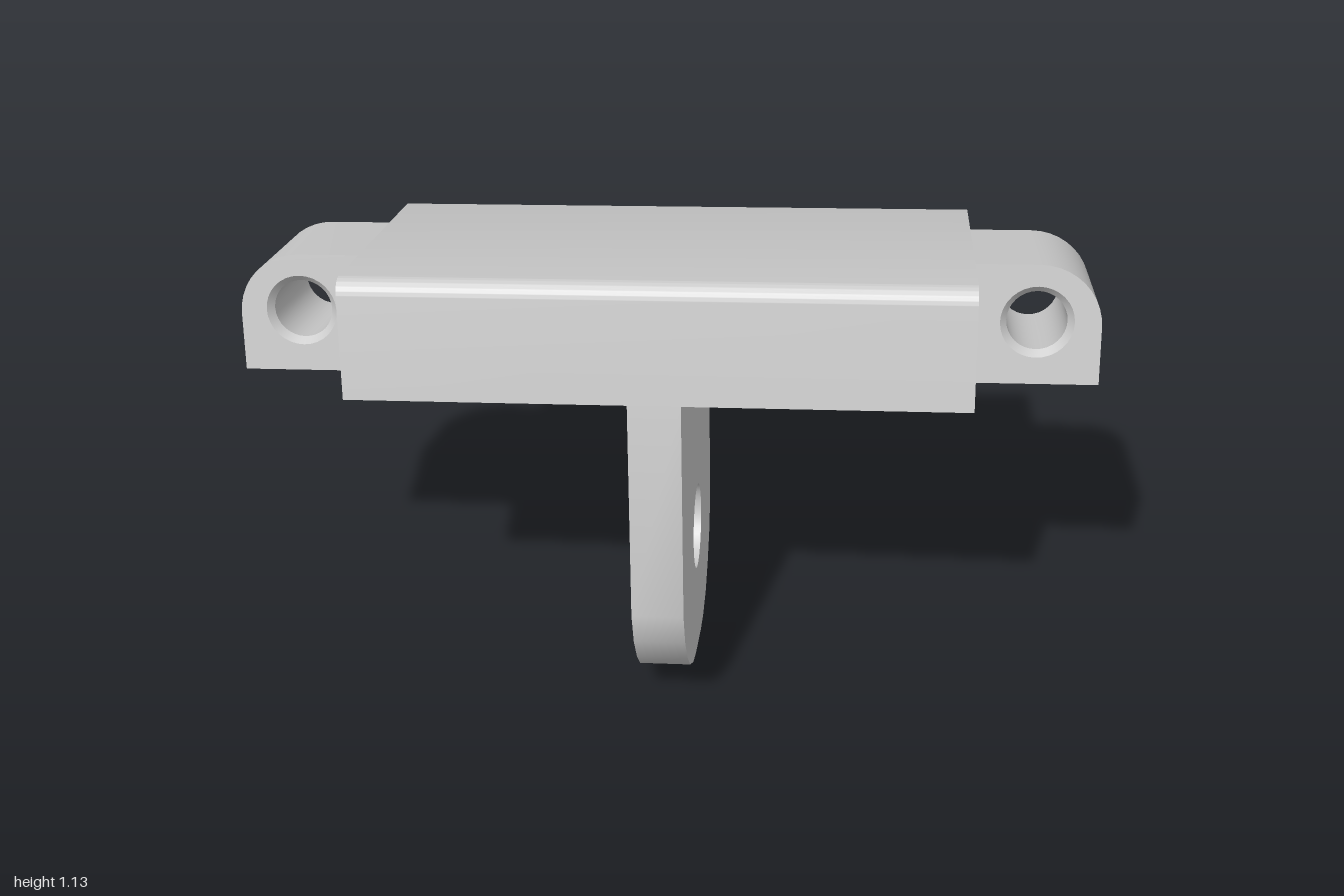
import * as THREE from 'three';
import { toCreasedNormals } from 'three/addons/utils/BufferGeometryUtils.js';

const BOTTOM = 0.755, TOP = 1.037;    // height range of the bar
const BACK = -0.24, FRONT = 0.515;    // depth range of the bar
const HALF = 0.711;                   // half length of the bar

const material = new THREE.MeshStandardMaterial({ color: 0xcccccc });
const liner = new THREE.MeshStandardMaterial({ color: 0xcccccc, side: THREE.DoubleSide });

function hole(shape, x, y, r) {
  shape.holes.push(new THREE.Path().absarc(x, y, r, 0, Math.PI * 2, true));
}

function extrude(shape, depth) {
  return new THREE.ExtrudeGeometry(shape, { depth, bevelEnabled: false, curveSegments: 16 });
}

// Side profile drawn as (-z, y), extruded along x and centred
function extrudeAcross(shape, width) {
  return extrude(shape, width).translate(0, 0, -width / 2).rotateY(Math.PI / 2);
}

function part(name, geometry, mat = material) {
  const mesh = new THREE.Mesh(toCreasedNormals(geometry, 0.5), mat);
  mesh.name = name;
  return mesh;
}

// Bar with rounded top edges; a rear recess is left for the drilled slab
function barGeometry() {
  const rf = 0.04, rb = 0.025, step = -0.02;
  const s = new THREE.Shape();
  s.moveTo(-FRONT, BOTTOM);
  s.lineTo(step, BOTTOM);
  s.lineTo(step, TOP - rb);
  s.lineTo(-BACK, TOP - rb);
  s.absarc(-BACK - rb, TOP - rb, rb, 0, Math.PI / 2, false);
  s.lineTo(-FRONT + rf, TOP);
  s.absarc(-FRONT + rf, TOP - rf, rf, Math.PI / 2, Math.PI, false);
  s.closePath();
  return extrudeAcross(s, HALF * 2);
}

// Rear slab with two blind screw holes
function rearGeometry() {
  const top = TOP - 0.025;
  const s = new THREE.Shape([
    new THREE.Vector2(-HALF, BOTTOM), new THREE.Vector2(HALF, BOTTOM),
    new THREE.Vector2(HALF, top), new THREE.Vector2(-HALF, top),
  ]);
  for (const side of [-1, 1]) hole(s, side * 0.4, (BOTTOM + TOP) / 2, 0.043);
  return extrude(s, 0.02 - BACK).translate(0, 0, BACK);
}

// Hanging tongue with a coarse rounded end and a pivot hole
function tongueGeometry() {
  const outline = [
    [FRONT, BOTTOM], [0.51, 0.235], [0.477, 0.154], [0.423, 0.089], [0.361, 0.041],
    [0.278, 0.0075], [0.204, -0.002], [0.071, -0.003], [0.001, 0.005], [-0.084, 0.038],
    [-0.149, 0.093], [-0.202, 0.155], [-0.236, 0.234], [BACK, BOTTOM],
  ];
  const s = new THREE.Shape(outline.map(([z, y]) => new THREE.Vector2(-z, y)));
  hole(s, -0.138, 0.313, 0.105);
  return extrudeAcross(s, 0.122);
}

// End lug with one rounded upper corner and a chamfered bore
function lug(side) {
  const z0 = -0.016, depth = 0.318, r = 0.145, cx = 0.855, bore = 0.902;
  const pts = [[HALF, BOTTOM], [1, BOTTOM]];
  for (let i = 0; i <= 10; i++) {
    const a = (i / 10) * Math.PI / 2;
    pts.push([cx + r * Math.cos(a), TOP - r + r * Math.sin(a)]);
  }
  pts.push([HALF, TOP]);
  const s = new THREE.Shape(pts.map(([x, y]) => new THREE.Vector2(side * x, y)));
  hole(s, side * cx, bore, 0.084);

  const sleeve = new THREE.LatheGeometry([
    [0.084, 0], [0.069, 0.018], [0.069, depth - 0.018], [0.084, depth],
  ].map(([x, y]) => new THREE.Vector2(x, y)), 32);
  sleeve.rotateX(Math.PI / 2).translate(side * cx, bore, z0);

  const group = new THREE.Group();
  group.name = side > 0 ? 'leftLug' : 'rightLug';
  group.add(part('lugBody', extrude(s, depth).translate(0, 0, z0)), part('boreLining', sleeve, liner));
  return group;
}

export function createModel() {
  const bracket = new THREE.Group();
  bracket.name = 'bracket';
  bracket.add(
    part('bar', barGeometry()),
    part('barRear', rearGeometry()),
    part('tongue', tongueGeometry()),
    lug(-1), lug(1),
  );
  // The whole bracket leans back and tips slightly sideways
  bracket.rotation.set(-THREE.MathUtils.degToRad(12), 0, THREE.MathUtils.degToRad(2));
  bracket.position.set(0.028, 0.003, 0);

  const model = new THREE.Group();
  model.name = 'model';
  model.add(bracket);
  return model;
}
